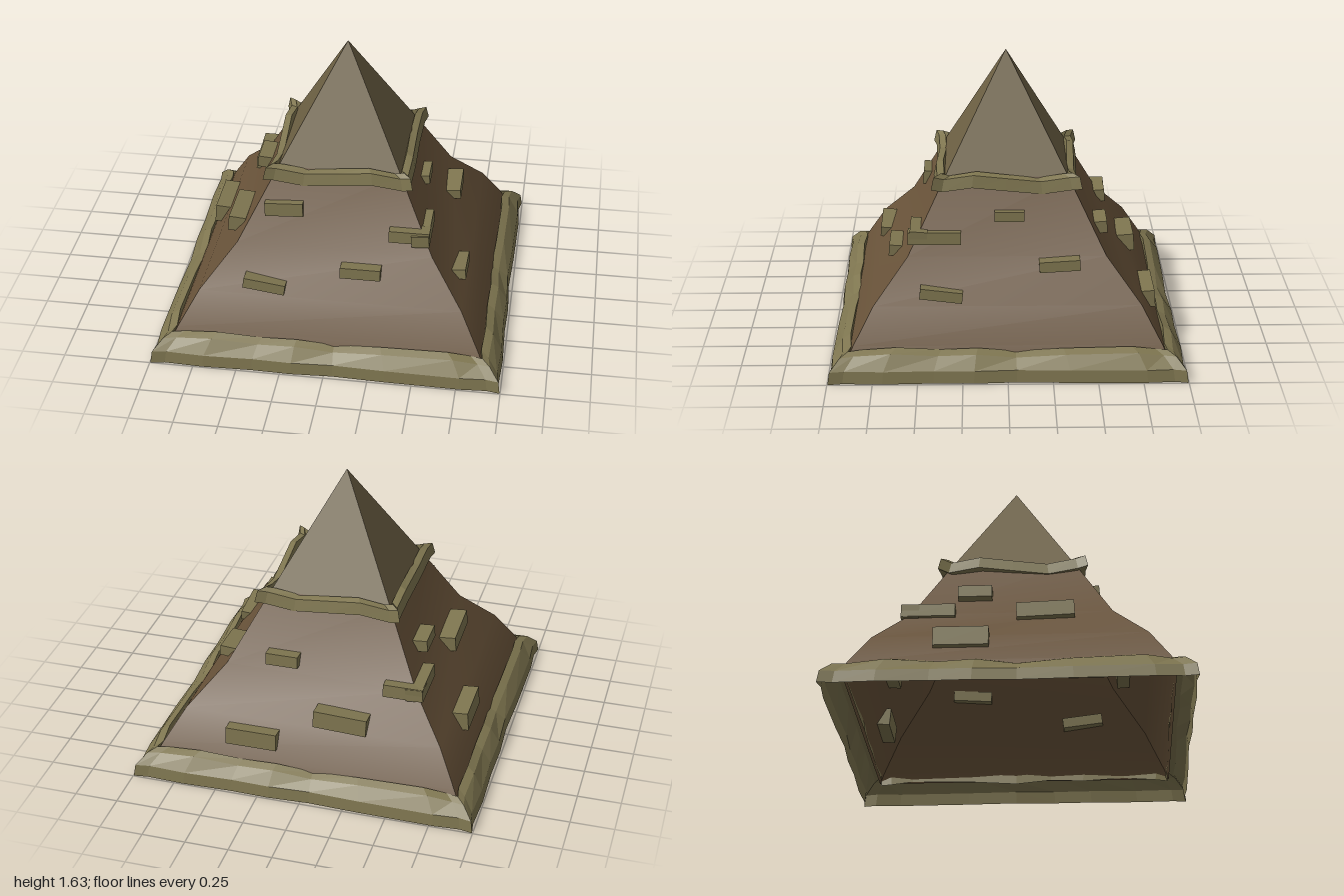
import * as THREE from 'three';

// One side's surface: a [radius, height] section swept along x, mitred at both corners
function sideSheet(stations, section, shift = () => [0, 0]) {
  const pos = [], index = [], m = section.length;
  stations.forEach(([t, wave]) => {
    section.forEach(([r, y], j) => {
      const [dr, dy] = shift(wave, j, t);
      pos.push(t * (r + dr), y + dy, r + dr);
    });
  });
  for (let i = 0; i < stations.length - 1; i++) {
    for (let j = 0; j < m - 1; j++) {
      const a = i * m + j, b = a + m;
      index.push(a, b, b + 1, a, b + 1, a + 1);
    }
  }
  const g = new THREE.BufferGeometry();
  g.setAttribute('position', new THREE.Float32BufferAttribute(pos, 3));
  g.setIndex(index);
  g.computeVertexNormals();
  return g;
}

export function createModel() {
  const model = new THREE.Group();
  const mat = (color, flatShading) =>
    new THREE.MeshStandardMaterial({ color, flatShading, side: THREE.DoubleSide });
  const wall = mat(0x6a543a, false);
  const roof = mat(0x6e6144, true);
  const stone = mat(0x7f7650, true);

  const add = (parent, name, geometry, material) => {
    const mesh = new THREE.Mesh(geometry, material);
    mesh.name = name;
    parent.add(mesh);
    return mesh;
  };

  // Sections as [distance from the axis, height]
  const wallSection = [[0.89, 0.11], [0.86, 0.17], [0.75, 0.36], [0.56, 0.58], [0.35, 0.98]];
  const capSection = [[0.35, 0.98], [0, 1.63]];
  const baseSection = [[0.985, 0], [0.975, 0.07], [0.92, 0.135], [0.875, 0.155], [0.87, 0.1]];
  const bandSection = [[0.36, 0.91], [0.41, 0.915], [0.395, 0.985], [0.355, 0.995], [0.34, 0.94]];

  // Uneven upper edges: [position along the side, height change]
  const straight = [[-1, 0], [1, 0]];
  const baseWave = [[-1, -0.005], [-0.93, 0], [-0.7, 0.018], [-0.42, 0], [-0.19, 0.01],
    [0.05, -0.015], [0.35, 0.005], [0.78, 0.015], [0.94, -0.005], [1, -0.005]];
  const bandWave = [[-1, 0.015], [-0.9, 0.005], [-0.5, -0.022], [0, 0], [0.47, 0.022],
    [0.9, -0.005], [1, 0.015]];
  const bandMirrored = bandWave.map(([t, w]) => [-t, w]).reverse();

  const baseShift = (w, j, t) =>
    [Math.abs(t) === 1 ? 0.012 : w * 0.5, j > 1 ? w : 0];
  const bandShift = (w, j, t) => [Math.abs(t) === 1 ? 0.018 : w * 0.3, w];

  // Bricks per side: [x, y, width, height, outer distance, roll]
  const sides = [
    { name: 'front', bricks: [[-0.3, 0.77, 0.22, 0.08, 0.49, 0.05], [0.425, 0.685, 0.23, 0.07, 0.55, 0],
      [0.165, 0.5, 0.23, 0.065, 0.68, 0], [-0.375, 0.415, 0.24, 0.06, 0.755, -0.13]] },
    { name: 'left', bricks: [[-0.41, 0.675, 0.3, 0.07, 0.54, 0], [0.015, 0.785, 0.17, 0.055, 0.49, 0],
      [0.295, 0.55, 0.23, 0.06, 0.655, 0.06], [-0.37, 0.415, 0.24, 0.06, 0.75, -0.12]] },
    { name: 'back', bricks: [[-0.33, 0.275, 0.3, 0.1, 0.85, 0], [0.17, 0.415, 0.31, 0.1, 0.765, -0.04],
      [-0.225, 0.655, 0.19, 0.07, 0.58, 0], [0.495, 0.58, 0.23, 0.075, 0.61, 0]] },
    { name: 'right', bricks: [[-0.46, 0.58, 0.3, 0.075, 0.61, 0], [-0.205, 0.715, 0.19, 0.07, 0.56, 0],
      [0.19, 0.555, 0.32, 0.09, 0.655, 0.04], [-0.26, 0.32, 0.3, 0.11, 0.835, 0]] },
  ];

  const depth = 0.1;
  sides.forEach(({ name, bricks }, k) => {
    const side = new THREE.Group();
    side.name = name + 'Side';
    side.rotation.y = k * Math.PI / 2;

    add(side, 'wall', sideSheet(straight, wallSection), wall);
    add(side, 'cap', sideSheet(straight, capSection), roof);
    add(side, 'baseTrim', sideSheet(baseWave, baseSection, baseShift), stone);
    add(side, 'upperBand', sideSheet(k % 2 ? bandMirrored : bandWave, [...bandSection, bandSection[0]], bandShift), stone);

    // Bricks set into the wall
    bricks.forEach(([x, y, w, h, outer, roll]) => {
      const brick = add(side, 'brick', new THREE.BoxGeometry(w, h, depth), stone);
      brick.position.set(x, y, outer - depth / 2);
      brick.rotation.set(-0.08, 0, roll);
    });
    model.add(side);
  });
  return model;
}
